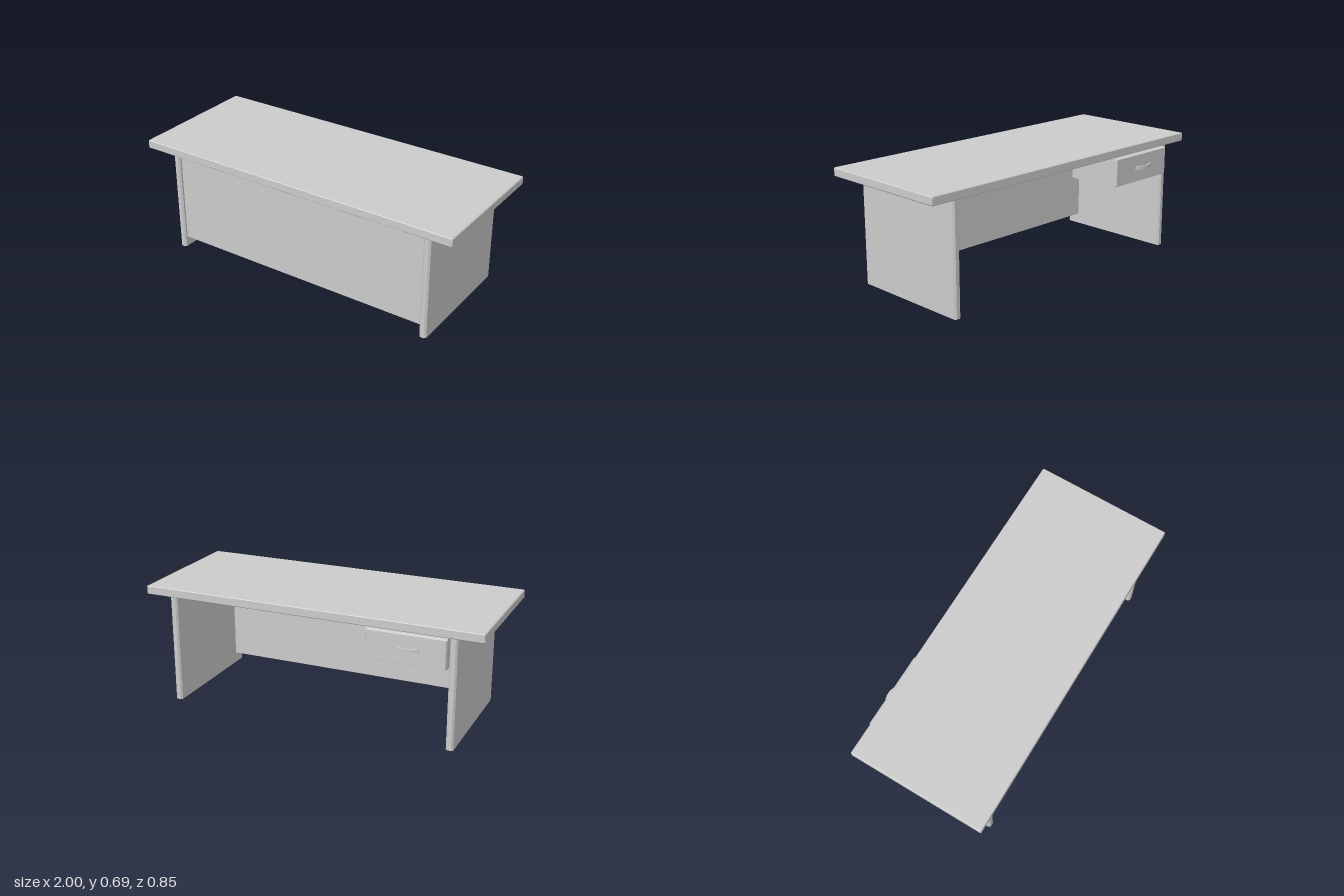
import * as THREE from 'three';

const material = new THREE.MeshStandardMaterial({ color: 0xcccccc, flatShading: true });

// Rectangle centred on the origin with cut corners
function cutRect(w, h, c) {
  const x = w / 2, y = h / 2;
  return new THREE.Shape([
    [-x + c, -y], [x - c, -y], [x, -y + c], [x, y - c],
    [x - c, y], [-x + c, y], [-x, y - c], [-x, -y + c],
  ].map(([a, b]) => new THREE.Vector2(a, b)));
}

// Centred block along z; corner cuts its long edges, bevel slopes its two ends
function chamferBlock(w, h, d, corner, bevel = 0, slope = bevel) {
  const g = new THREE.ExtrudeGeometry(cutRect(w - 2 * bevel, h - 2 * bevel, corner), {
    depth: d - 2 * slope, bevelEnabled: bevel > 0, bevelSegments: 1,
    bevelSize: bevel, bevelThickness: slope,
  });
  return g.translate(0, 0, slope - d / 2);
}

export function createModel() {
  const desk = new THREE.Group();
  desk.name = 'desk';

  function add(name, geometry, x, y, z, parent = desk) {
    const mesh = new THREE.Mesh(geometry, material);
    mesh.name = name;
    mesh.position.set(x, y, z);
    parent.add(mesh);
    return mesh;
  }

  // Desktop slab with slightly eased edges
  add('desktop', chamferBlock(2, 0.05, 0.806, 0.003, 0.004), 0, 0.66, 0.025);

  // Full-depth side panels, chamfered on their upright edges
  for (const [name, side] of [['leftLeg', 1], ['rightLeg', -1]]) {
    const leg = chamferBlock(0.042, 0.745, 0.635, 0.01).rotateX(-Math.PI / 2);
    add(name, leg, side * 0.834, 0.3175, 0.0075);
  }

  // Front panel between the legs
  add('modestyPanel', new THREE.BoxGeometry(1.626, 0.572, 0.066), 0, 0.349, 0.327);

  // Drawer under the back edge
  const drawer = new THREE.Group();
  drawer.name = 'drawer';
  drawer.position.set(-0.583, 0.548, 0);
  desk.add(drawer);
  add('drawerBox', new THREE.BoxGeometry(0.454, 0.169, 0.325), 0, 0, -0.2225, drawer);
  add('drawerFront', chamferBlock(0.454, 0.169, 0.05, 0.002, 0.006, 0.013), 0, 0, -0.373, drawer);

  // Bowed pull handle: a flat arc band
  const r = 0.105, half = 0.73, band = 0.009;
  const arc = new THREE.Shape();
  arc.absarc(0, 0, r, Math.PI / 2 - half, Math.PI / 2 + half, false);
  arc.absarc(0, 0, r - band, Math.PI / 2 + half, Math.PI / 2 - half, true);
  const pull = new THREE.ExtrudeGeometry(arc, { depth: 0.02, bevelEnabled: false, curveSegments: 16 });
  pull.translate(0, 0, -0.01).rotateX(-Math.PI / 2);
  add('drawerHandle', pull, -0.012, 0.003, -0.425 + r, drawer);

  return desk;
}
